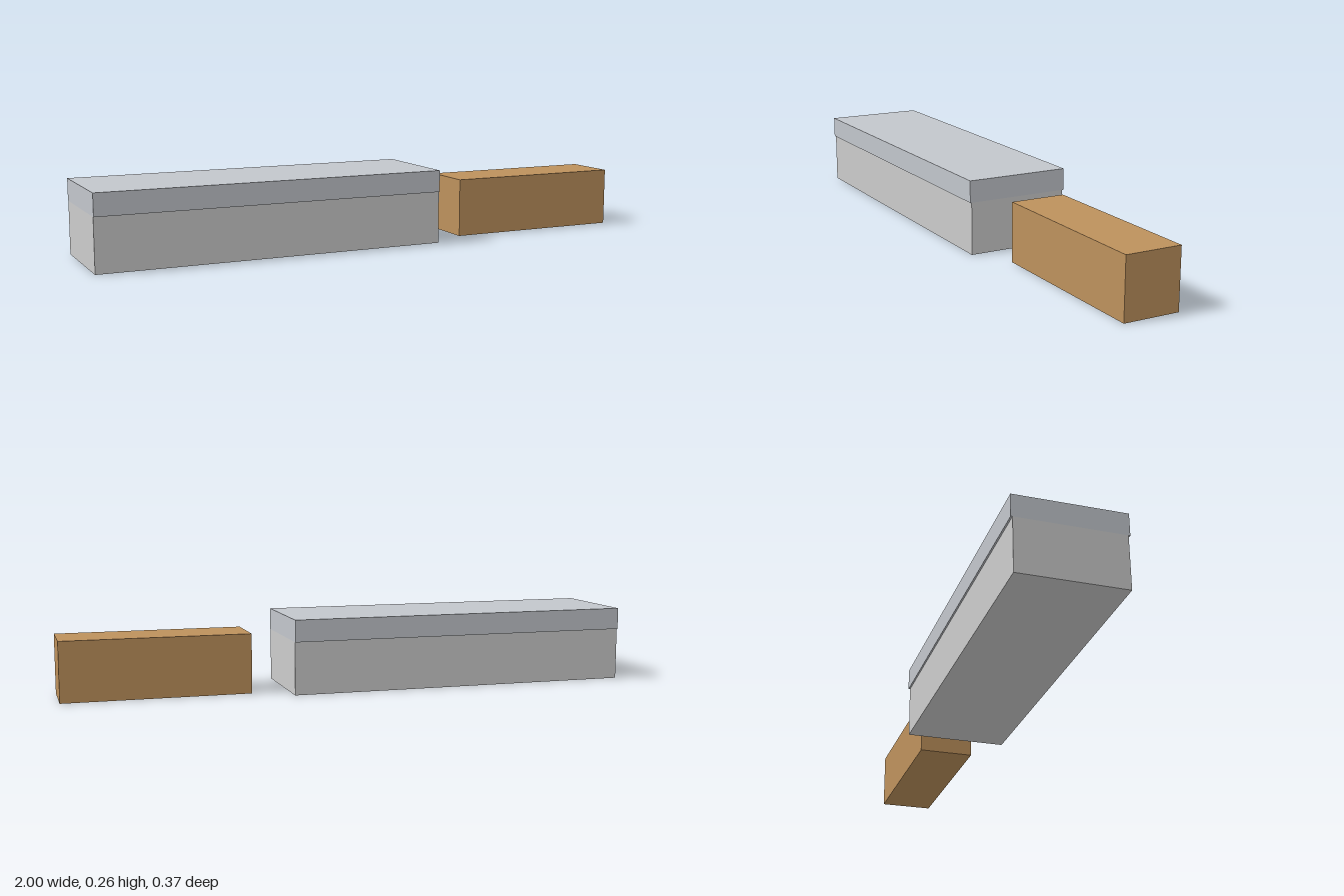
import * as THREE from 'three';

// Box given by its extents in x and y, and its full depth centred on z = 0
function block(name, color, x0, x1, y0, y1, depth) {
  const mesh = new THREE.Mesh(
    new THREE.BoxGeometry(x1 - x0, y1 - y0, depth),
    new THREE.MeshStandardMaterial({ color })
  );
  mesh.position.set((x0 + x1) / 2, (y0 + y1) / 2, 0);
  mesh.name = name;
  return mesh;
}

export function createModel() {
  const model = new THREE.Group();
  model.name = 'boxAndBlock';

  // Long case with a slightly wider lid
  const longCase = new THREE.Group();
  longCase.name = 'longCase';
  longCase.add(
    block('caseBody', 0xcccccc, -1, 0.222, 0, 0.183, 0.356),
    block('caseLid', 0xc2c6cc, -1, 0.222, 0.183, 0.259, 0.367)
  );

  // Separate wooden block beside it
  model.add(longCase, block('woodenBlock', 0xbd915c, 0.354, 1, 0, 0.207, 0.196));
  return model;
}
